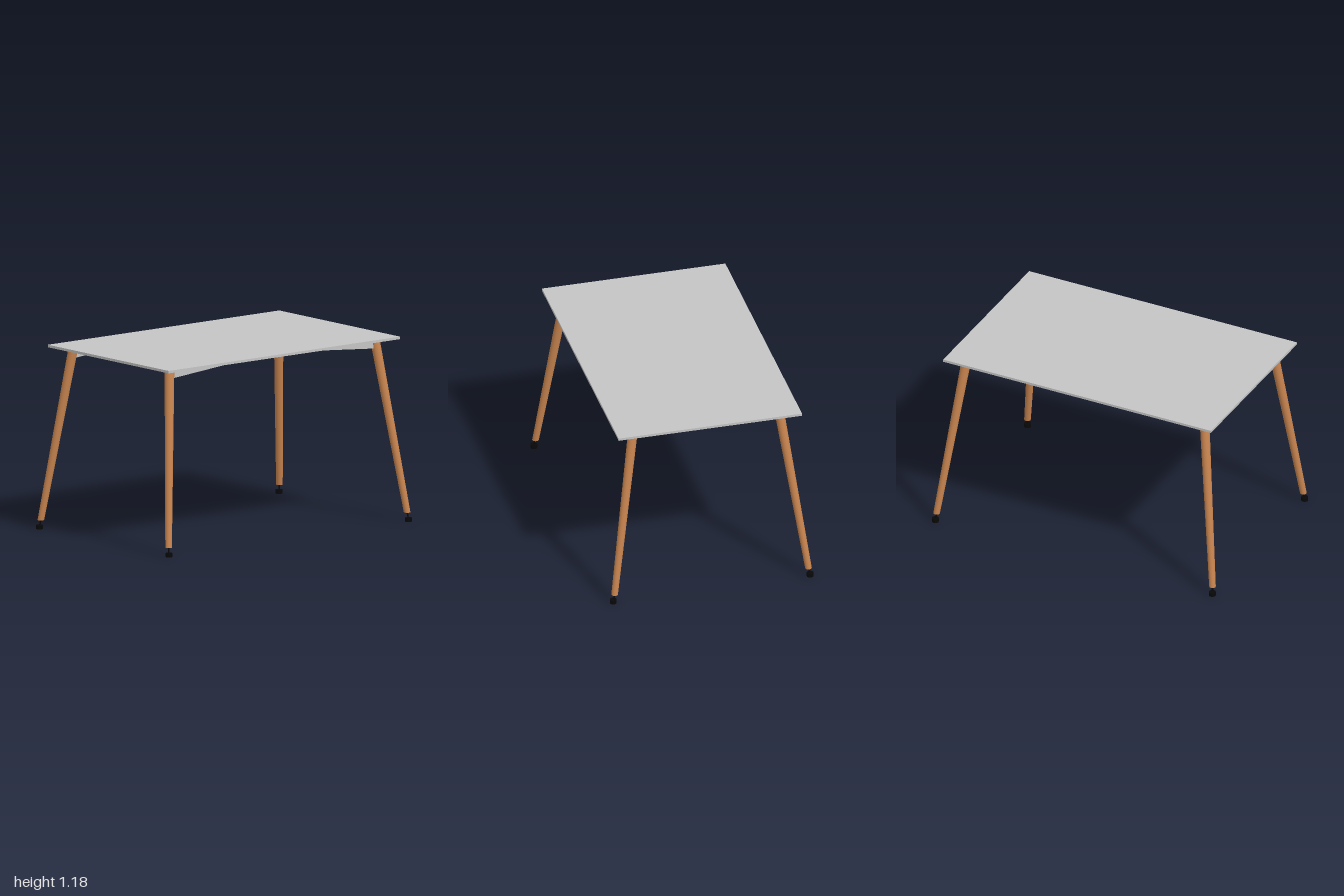
import * as THREE from 'three';

const wood = new THREE.MeshStandardMaterial({ name: 'warm wood', color: 0xc8844f });
const grey = new THREE.MeshStandardMaterial({ name: 'light grey', color: 0xc4c4c4 });
const black = new THREE.MeshStandardMaterial({ name: 'black', color: 0x080808 });

const UNDERSIDE = 1.164;

function addMesh(parent, name, geometry, material) {
  const mesh = new THREE.Mesh(geometry, material);
  mesh.name = name;
  parent.add(mesh);
  return mesh;
}

// Tapered round bar leaning from bottom to top, with both ends cut level
function leaningBar(bottom, top, bottomRadius, topRadius, sides) {
  const height = top.y - bottom.y;
  const geometry = new THREE.CylinderGeometry(topRadius, bottomRadius, height, sides);
  const shear = new THREE.Matrix4().set(
    1, (top.x - bottom.x) / height, 0, (top.x + bottom.x) / 2,
    0, 1, 0, (top.y + bottom.y) / 2,
    0, (top.z - bottom.z) / height, 1, (top.z + bottom.z) / 2,
    0, 0, 0, 1
  );
  return geometry.applyMatrix4(shear);
}

// Wedge-shaped rail, deep at the leg and running out towards the middle
function railGeometry(sx, sz) {
  const thickness = 0.03;
  const shape = new THREE.Shape([
    new THREE.Vector2(0.11, UNDERSIDE),
    new THREE.Vector2(0.83, UNDERSIDE),
    new THREE.Vector2(0.83, 1.103),
    new THREE.Vector2(0.805, 1.105),
  ]);
  const geometry = new THREE.ExtrudeGeometry(shape, { depth: thickness, bevelEnabled: false });
  geometry.translate(0, 0, -thickness / 2);
  geometry.rotateY(sz > 0 ? -Math.PI / 2 : Math.PI / 2);
  return geometry.translate(sx * 0.475, 0, 0);
}

export function createModel() {
  const table = new THREE.Group();
  table.name = 'table';

  // Thin flat top
  addMesh(table, 'tableTop', new THREE.BoxGeometry(1.194, 0.016, 1.89), grey)
    .position.y = UNDERSIDE + 0.008;

  for (const sx of [-1, 1]) {
    for (const sz of [-1, 1]) {
      const corner = new THREE.Group();
      corner.name = (sz > 0 ? 'front' : 'back') + (sx > 0 ? 'Left' : 'Right') + 'Corner';
      table.add(corner);
      const point = (x, y, z) => new THREE.Vector3(sx * x, y, sz * z);

      // Splayed, tapered leg
      const ankle = point(0.631, 0.058, 0.974);
      addMesh(corner, 'leg', leaningBar(ankle, point(0.475, UNDERSIDE, 0.838), 0.021, 0.031, 32), wood);

      // Levelling foot on a thin stem
      addMesh(corner, 'stem', leaningBar(point(0.638, 0.02, 0.978), ankle, 0.005, 0.005, 12), black);
      addMesh(corner, 'foot', new THREE.CylinderGeometry(0.022, 0.022, 0.025, 24), black)
        .position.copy(point(0.641, 0.0125, 0.978));

      // Supporting rail under the top
      addMesh(corner, 'rail', railGeometry(sx, sz), grey);
    }
  }
  return table;
}
